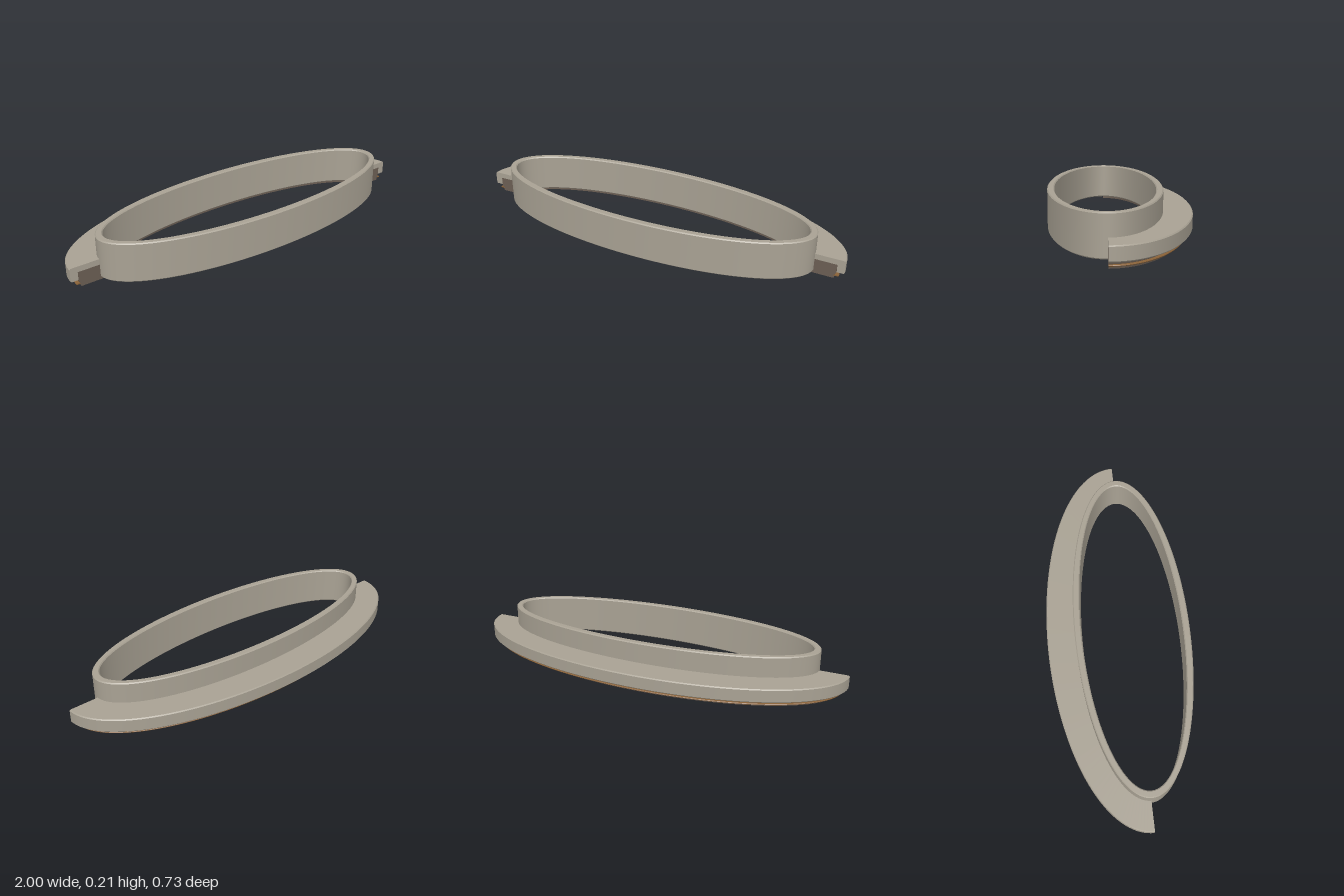
import * as THREE from 'three';

const CENTRE_Z = 0.073; // centre of all the concentric ellipses
const SQUASH = 0.564;   // depth radius = width radius - SQUASH

// Sweep a closed counter-clockwise [radius, y] profile round the ellipse.
// Each profile edge has its own vertices, so edges stay crisp and the sweep smooth.
function sweep(profile, start, end, steps) {
  const pos = [], index = [];
  const closed = end - start > 6.28;
  const rows = closed ? steps : steps + 1;
  profile.forEach((p, k) => {
    const q = profile[(k + 1) % profile.length];
    const base = pos.length / 3;
    for (let i = 0; i < rows; i++) {
      const t = start + (end - start) * i / steps;
      for (const [r, y] of [p, q]) {
        pos.push(r * Math.cos(t), y, CENTRE_Z + (r - SQUASH) * Math.sin(t));
      }
    }
    for (let i = 0; i < steps; i++) {
      const a = base + 2 * i, c = base + 2 * ((i + 1) % rows);
      index.push(a, a + 1, c, a + 1, c + 1, c);
    }
  });
  const g = new THREE.BufferGeometry();
  g.setAttribute('position', new THREE.Float32BufferAttribute(pos, 3));
  g.setIndex(index);
  g.computeVertexNormals();
  return g;
}

export function createModel() {
  const model = new THREE.Group();
  const stone = new THREE.MeshStandardMaterial({ color: 0xa8a193 });
  const brown = new THREE.MeshStandardMaterial({ color: 0x6b5e53 });
  const copper = new THREE.MeshStandardMaterial({ color: 0x8a6238 });
  stone.name = 'warm grey';
  brown.name = 'dark brown';
  copper.name = 'copper';

  // Full oval ring with small chamfers
  const ring = new THREE.Mesh(sweep([
    [0.825, 0.012], [0.85, 0.012], [0.855, 0.017], [0.855, 0.201],
    [0.85, 0.206], [0.825, 0.206], [0.82, 0.201], [0.82, 0.017],
  ], 0, Math.PI * 2, 128), stone);
  ring.name = 'ovalRing';
  model.add(ring);

  // Half-oval part behind the ring, closed by two flat ends facing forward
  function halfBand(name, profile, material) {
    const band = new THREE.Group();
    band.name = name;
    band.add(new THREE.Mesh(sweep(profile, Math.PI, Math.PI * 2, 80), material));
    for (const side of [1, -1]) {
      const shape = new THREE.Shape(profile.map(([r, y]) => new THREE.Vector2(side * r, y)));
      const end = new THREE.Mesh(new THREE.ShapeGeometry(shape), material);
      end.position.z = CENTRE_Z;
      band.add(end);
    }
    model.add(band);
  }

  // Top ledge with a lip hanging over its outer edge
  halfBand('ledge', [
    [0.845, 0.075], [0.963, 0.075], [0.963, 0.035], [0.995, 0.035],
    [1, 0.04], [1, 0.098], [0.995, 0.103], [0.845, 0.103],
  ], stone);

  // Tapered base under the ledge
  halfBand('base', [
    [0.83, 0], [0.952, 0], [0.962, 0.035], [0.962, 0.075], [0.83, 0.075],
  ], brown);

  // Thin trim fin round the base
  halfBand('trimFin', [
    [0.95, 0.013], [0.973, 0.013], [0.975, 0.016], [0.973, 0.019], [0.95, 0.019],
  ], copper);

  return model;
}
